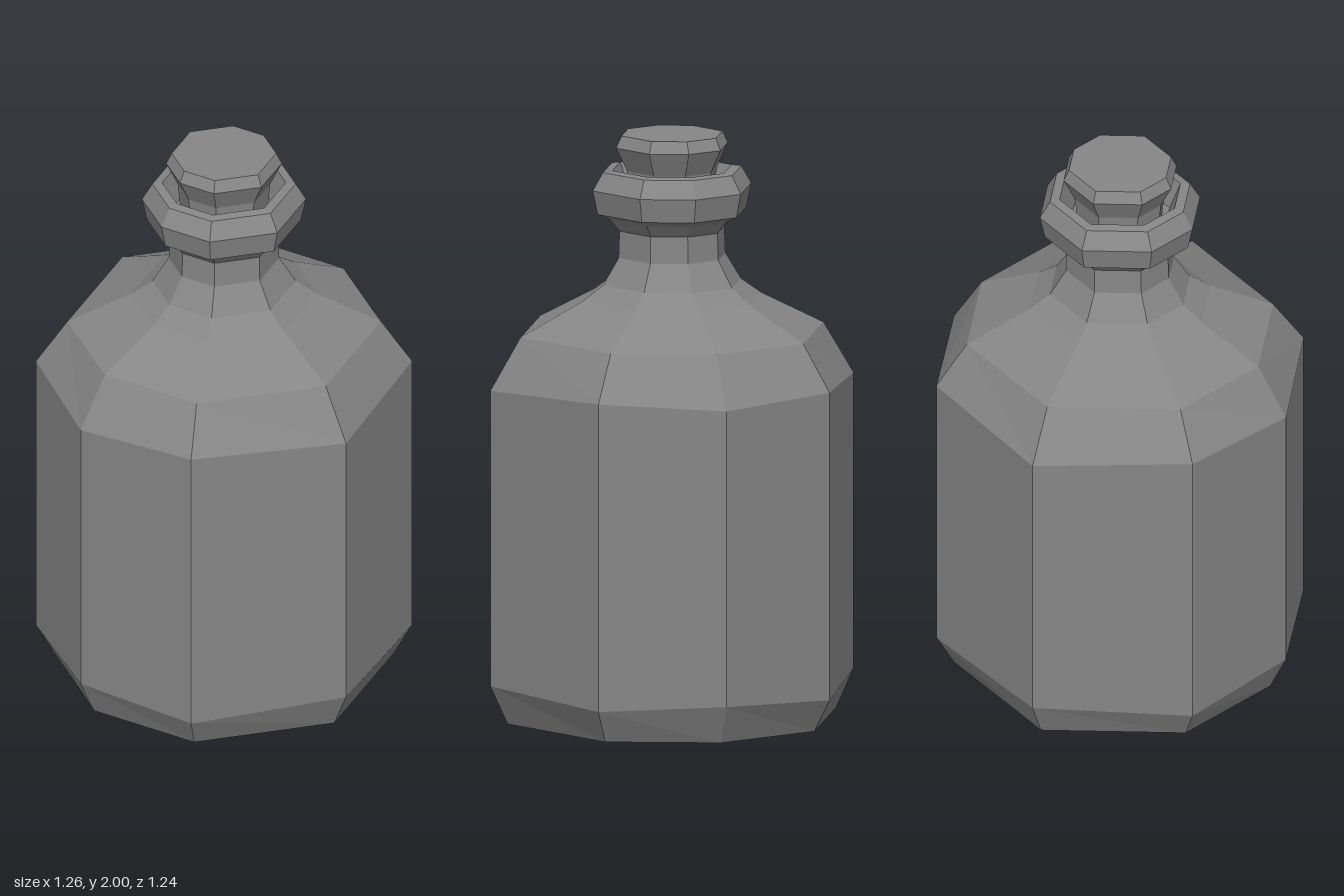
import * as THREE from 'three';

const SIDES = 8;
// Ring corners sit at 0, 50.5, 90, 129.5... degrees, slightly squeezed in depth
const ANGLES = [0, 50.5, 90, 129.5, 180, 230.5, 270, 309.5].map(THREE.MathUtils.degToRad);
const DEPTH = 0.985;

// Lathe a profile of [radius, y, diagonalLift] rows into an uneven octagon
function octagonLathe(name, rows) {
  const geometry = new THREE.LatheGeometry(rows.map(([r, y]) => new THREE.Vector2(r, y)), SIDES);
  const pos = geometry.attributes.position;
  for (let i = 0; i < pos.count; i++) {
    const side = Math.floor(i / rows.length) % SIDES;
    const [r, y, lift = 0] = rows[i % rows.length];
    // Lathe order runs from +z towards +x, so measure back from +z
    const angle = ANGLES[(2 - side + SIDES) % SIDES];
    const diagonal = side % 2 === 1;
    pos.setXYZ(i, r * Math.cos(angle), y + (diagonal ? lift : 0), r * Math.sin(angle) * DEPTH);
  }
  const flat = geometry.toNonIndexed();
  flat.computeVertexNormals();
  const material = new THREE.MeshStandardMaterial({
    color: 0x868686, flatShading: true, side: THREE.DoubleSide,
  });
  const mesh = new THREE.Mesh(flat, material);
  mesh.name = name;
  return mesh;
}

export function createModel() {
  const bottle = new THREE.Group();
  bottle.name = 'bottle';

  // Body with bevelled base, shoulder and neck
  bottle.add(octagonLathe('body', [
    [0, 0], [0.57, 0.04], [0.63, 0.17, -0.02], [0.63, 1.165, 0.02],
    [0.525, 1.34], [0.31, 1.45], [0.24, 1.5], [0.185, 1.59], [0.182, 1.68],
    [0.215, 1.72],
  ]));

  // Hollow lip around the mouth
  bottle.add(octagonLathe('lip', [
    [0.215, 1.72], [0.258, 1.74], [0.275, 1.82], [0.24, 1.88],
    [0.207, 1.885], [0.17, 1.79], [0.13, 1.78],
  ]));

  // Tapered stopper
  bottle.add(octagonLathe('stopper', [
    [0, 1.72], [0.14, 1.72], [0.155, 1.88], [0.194, 1.96], [0.175, 2.0], [0, 2.0],
  ]));

  return bottle;
}
